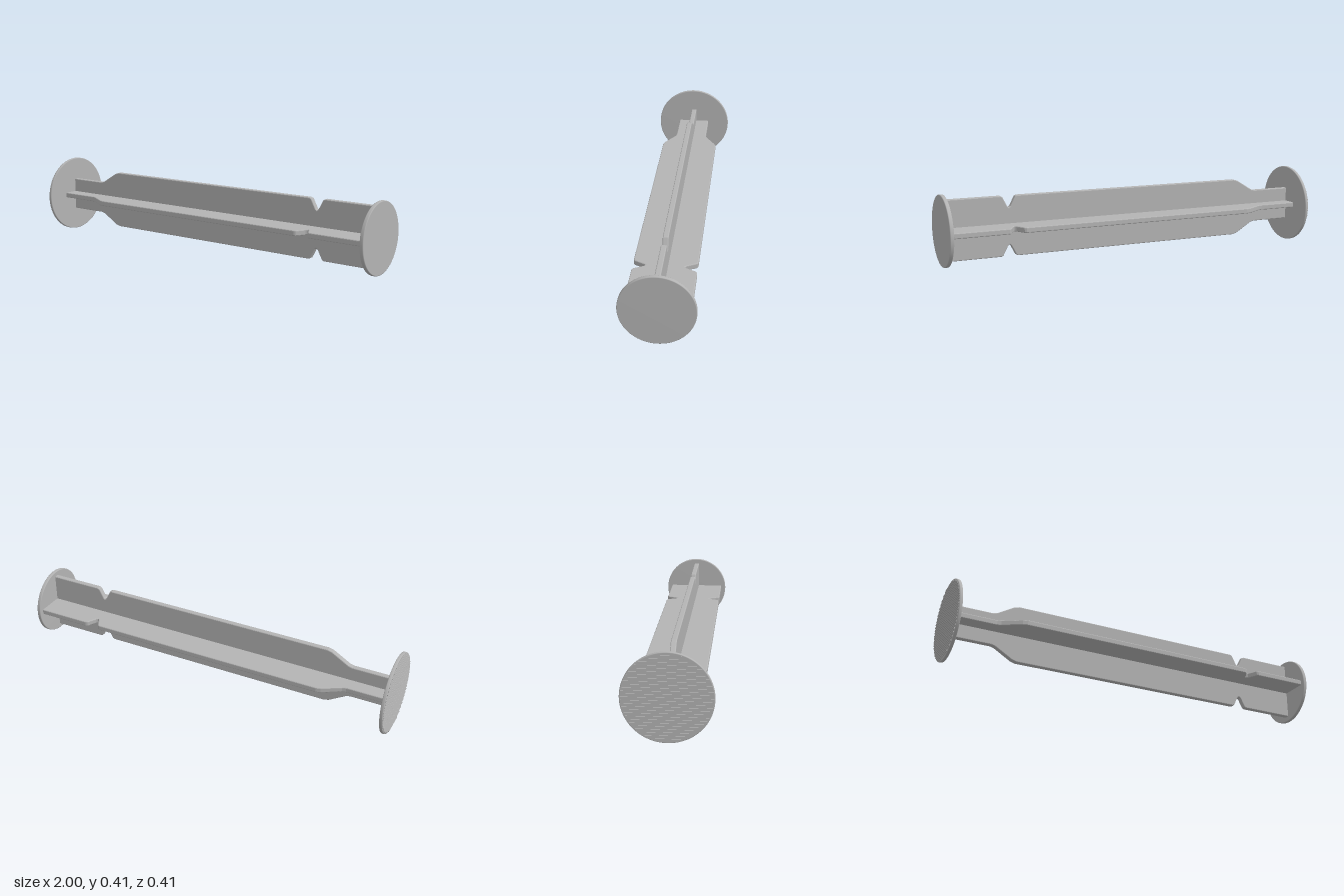
import * as THREE from 'three';

const AXIS_Y = 0.208;

// Disc with softened rims, spanning x0..x1 along the x axis
function disc(name, radius, x0, x1, material) {
  const t = x1 - x0, r = 0.004;
  const profile = [
    [0, 0], [radius - r, 0], [radius - r * 0.3, r * 0.3], [radius, r],
    [radius, t - r], [radius - r * 0.3, t - r * 0.3], [radius - r, t], [0, t],
  ].map(([x, y]) => new THREE.Vector2(x, y));
  const geo = new THREE.LatheGeometry(profile, 96);
  geo.rotateZ(-Math.PI / 2);
  const mesh = new THREE.Mesh(geo, material);
  mesh.position.x = x0;
  mesh.name = name;
  return mesh;
}

// Symmetrical blade outline: narrow neck, taper, long body, V notch, head
function bladeGeometry() {
  const half = [
    [-0.985, 0.087], [-0.77, 0.087], [-0.75, 0.092], [-0.66, 0.146], [-0.635, 0.153],
    [0.615, 0.153], [0.625, 0.148], [0.65, 0.1], [0.658, 0.094], [0.666, 0.1],
    [0.691, 0.148], [0.701, 0.153], [0.985, 0.153],
  ];
  const outline = [
    ...half.map(([x, y]) => new THREE.Vector2(x, -y)),
    ...half.map(([x, y]) => new THREE.Vector2(x, y)).reverse(),
  ];
  const thickness = 0.028, bevel = 0.005;
  const geo = new THREE.ExtrudeGeometry(new THREE.Shape(outline), {
    depth: thickness - 2 * bevel, bevelEnabled: true, bevelSize: bevel,
    bevelThickness: bevel, bevelOffset: -bevel, bevelSegments: 3,
  });
  geo.translate(0, 0, -thickness / 2 + bevel);
  return geo;
}

export function createModel() {
  const group = new THREE.Group();
  const grey = new THREE.MeshStandardMaterial({ color: 0xb3b3b3 });
  grey.name = 'grey plastic';

  // Crossed blades forming the rod
  const geo = bladeGeometry();
  const upright = new THREE.Mesh(geo, grey);
  upright.name = 'uprightBlade';
  const flat = new THREE.Mesh(geo, grey);
  flat.name = 'flatBlade';
  flat.rotation.x = Math.PI / 2;

  // End discs
  const thumbDisc = disc('thumbDisc', 0.207, -0.997, -0.98, grey);
  const headDisc = disc('headDisc', 0.178, 0.98, 1, grey);
  group.add(upright, flat, thumbDisc, headDisc);

  // Fine grip ridges across the outer face of the thumb disc
  const ridges = new THREE.Group();
  ridges.name = 'gripRidges';
  const pitch = 0.0145, faceRadius = 0.203;
  for (let i = -13; i <= 13; i++) {
    const y = i * pitch;
    const width = 2 * Math.sqrt(faceRadius ** 2 - (Math.abs(y) + 0.004) ** 2);
    const ridge = new THREE.Mesh(new THREE.BoxGeometry(0.004, 0.007, width), grey);
    ridge.position.set(-0.998, y, 0);
    ridge.name = 'gripRidge';
    ridges.add(ridge);
  }
  group.add(ridges);

  group.children.forEach((part) => { part.position.y = AXIS_Y; });
  group.name = 'plungerRod';
  return group;
}
